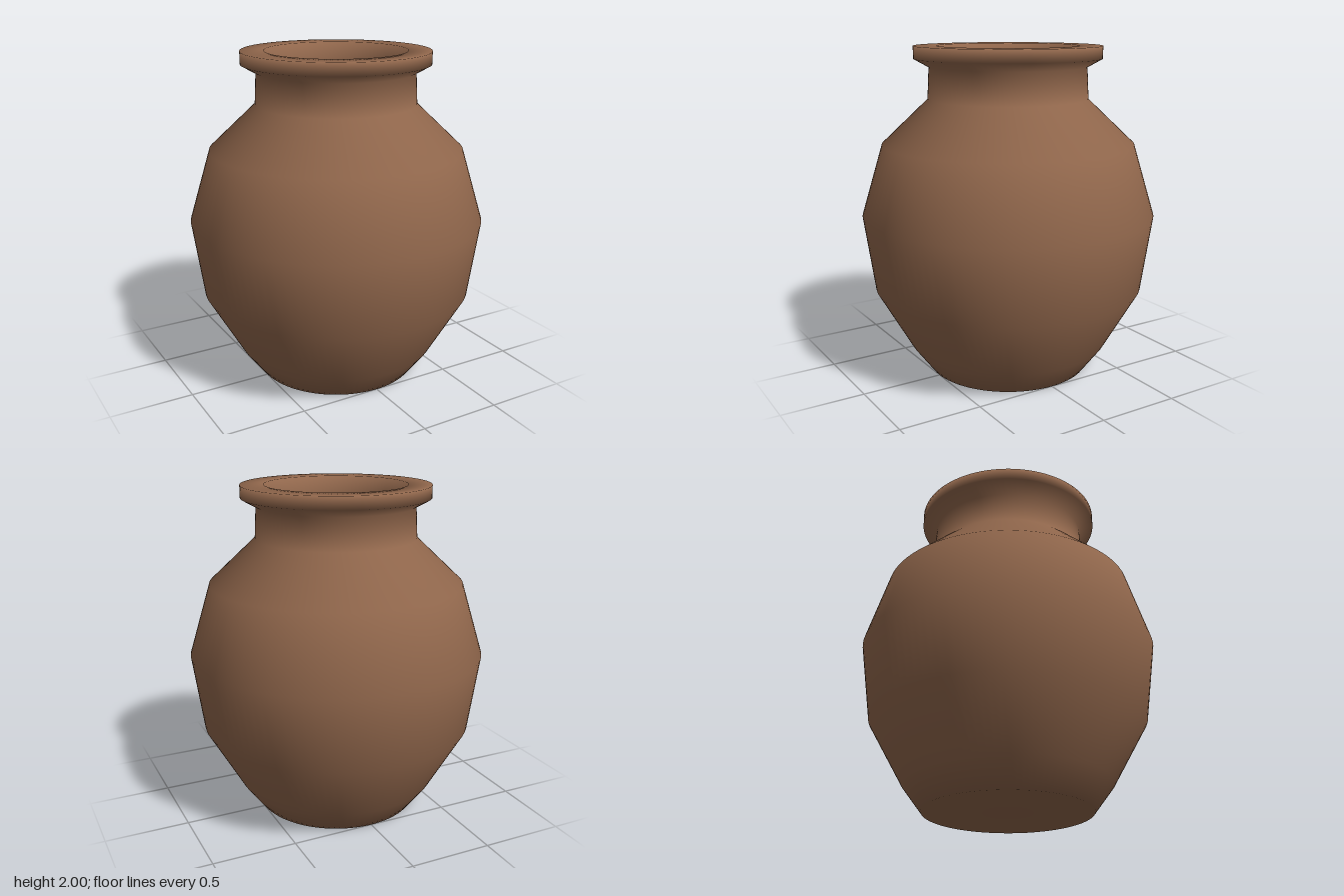
import * as THREE from 'three';

export function createModel() {
  const clay = new THREE.MeshStandardMaterial({ color: 0x91674c });
  clay.name = 'clay brown';

  // One closed profile: base, outer wall, flared lip, then down the inner wall to the floor
  const profile = [
    [0, 0], [0.5, 0], [0.62, 0.16], [0.83, 0.53], [0.895, 0.99],
    [0.765, 1.42], [0.485, 1.685], [0.475, 1.875], [0.565, 1.925], [0.565, 2],
    [0.425, 2], [0.395, 1.87], [0.4, 1.66], [0.69, 1.38],
    [0.81, 0.99], [0.75, 0.55], [0.55, 0.2], [0.44, 0.08], [0, 0.08],
  ].map(([r, y]) => new THREE.Vector2(r, y));

  const jar = new THREE.Mesh(new THREE.LatheGeometry(profile, 96), clay);
  jar.name = 'jar';

  const group = new THREE.Group();
  group.name = 'clayJar';
  group.add(jar);
  return group;
}
